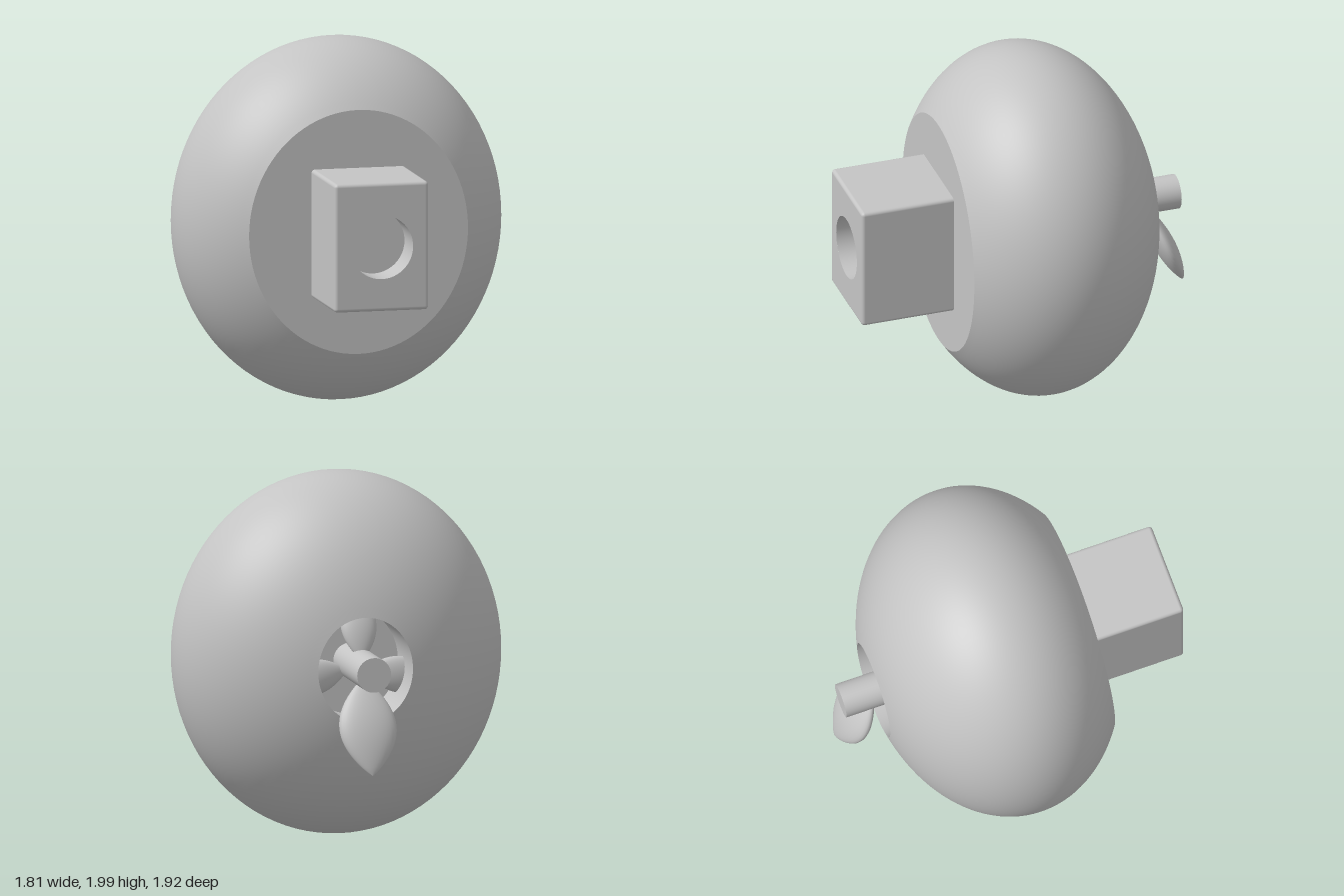
import * as THREE from 'three';
import { RoundedBoxGeometry } from 'three/addons/geometries/RoundedBoxGeometry.js';

const CY = 1.005; // height of the main axis

export function createModel() {
  const model = new THREE.Group();
  const grey = new THREE.MeshStandardMaterial({ color: 0xc4c4c4 });
  grey.name = 'plain grey';

  const add = (name, geometry, parent = model) => {
    const mesh = new THREE.Mesh(geometry, grey);
    mesh.name = name;
    parent.add(mesh);
    return mesh;
  };

  // Surface turned around the z axis from [radius, z] points
  const turned = (points, sx = 1, sy = 1, segments = 64) =>
    new THREE.LatheGeometry(points.map(([r, z]) => new THREE.Vector2(r, z)), segments)
      .rotateX(Math.PI / 2).scale(sx, sy, 1).translate(0, CY, 0);

  // Body: ellipsoid cut flat at the front, with a round recess at the back
  const body = new THREE.Group();
  body.name = 'body';
  model.add(body);
  const RX = 0.907, RY = 0.995, RZ = 0.69, CZ = -0.08, FRONT = 0.43, BACK = -0.74, FLOOR = -0.4;
  const a0 = Math.asin((BACK - CZ) / RZ), a1 = Math.asin((FRONT - CZ) / RZ);
  const shell = [];
  for (let i = 0; i <= 40; i++) {
    const a = a0 + (a1 - a0) * i / 40;
    shell.push([Math.cos(a), CZ + RZ * Math.sin(a)]);
  }
  const holeR = Math.cos(a0), faceR = Math.cos(a1);
  add('bodyShell', turned(shell, RX, RY, 96), body);
  add('bodyFrontFace', turned([[faceR, FRONT], [0, FRONT]], RX, RY, 96), body);
  add('recessWall', turned([[holeR, FLOOR], [holeR, BACK]], RX, RY, 96), body);
  add('recessFloor', turned([[0, FLOOR], [holeR, FLOOR]], RX, RY, 96), body);

  // Front block: rounded box whose flat front is replaced by a face with a hole
  const block = new THREE.Group();
  block.name = 'frontBlock';
  model.add(block);
  const W = 0.525, H = 0.705, END = 0.955, D = 0.56, R = 0.02, BORE = 0.175;
  const box = new RoundedBoxGeometry(W, H, D, 3, R);
  const rounded = box.index ? box.toNonIndexed() : box;
  const pos = rounded.attributes.position, nor = rounded.attributes.normal;
  const keptPos = [], keptNor = [];
  for (let t = 0; t < pos.count; t += 3) {
    const ids = [t, t + 1, t + 2];
    if (ids.every(i => pos.getZ(i) > D / 2 - 1e-4)) continue;
    for (const i of ids) {
      keptPos.push(pos.getX(i), pos.getY(i), pos.getZ(i));
      keptNor.push(nor.getX(i), nor.getY(i), nor.getZ(i));
    }
  }
  const sides = new THREE.BufferGeometry();
  sides.setAttribute('position', new THREE.Float32BufferAttribute(keptPos, 3));
  sides.setAttribute('normal', new THREE.Float32BufferAttribute(keptNor, 3));
  add('blockSides', sides.translate(0, CY, END - D / 2), block);

  const w = W / 2 - R, h = H / 2 - R;
  const face = new THREE.Shape([[-w, -h], [w, -h], [w, h], [-w, h]].map(p => new THREE.Vector2(...p)));
  face.holes.push(new THREE.Path().absarc(0, 0, BORE, 0, Math.PI * 2, true));
  add('blockFront', new THREE.ShapeGeometry(face, 48).translate(0, CY, END), block);
  add('boreWall', turned([[BORE, END], [BORE, 0.76]]), block);
  add('boreFloor', turned([[BORE, 0.76], [0, 0.76]]), block);

  // Stem rising from the recess
  add('stem', new THREE.CylinderGeometry(0.095, 0.095, 0.53, 40)
    .rotateX(Math.PI / 2).translate(0, CY + 0.005, -0.665));

  // Leaves: flattened spindles, pointed at the tip, starting at the origin
  const profile = [];
  for (let i = 0; i <= 24; i++) {
    const t = i / 24;
    profile.push(new THREE.Vector2(Math.pow(Math.sin(Math.PI * t), 0.8), t));
  }
  const leafGeometry = (length, width, thick) =>
    new THREE.LatheGeometry(profile, 32).scale(width / 2, length, thick / 2);

  const lower = add('lowerLeaf', leafGeometry(0.545, 0.32, 0.115));
  lower.position.set(0.015, 0.96, -0.74);
  lower.rotation.x = Math.PI + 0.42;

  const upper = add('upperLeaf', leafGeometry(0.4, 0.2, 0.09));
  upper.position.set(0, 1.05, -0.66);
  upper.rotation.x = 0.42;

  for (const s of [-1, 1]) {
    const side = add(s > 0 ? 'leftLeaf' : 'rightLeaf', leafGeometry(0.4, 0.2, 0.09));
    side.position.set(s * 0.05, CY - 0.03, -0.52);
    side.rotation.z = -s * 1.75;
  }
  return model;
}
